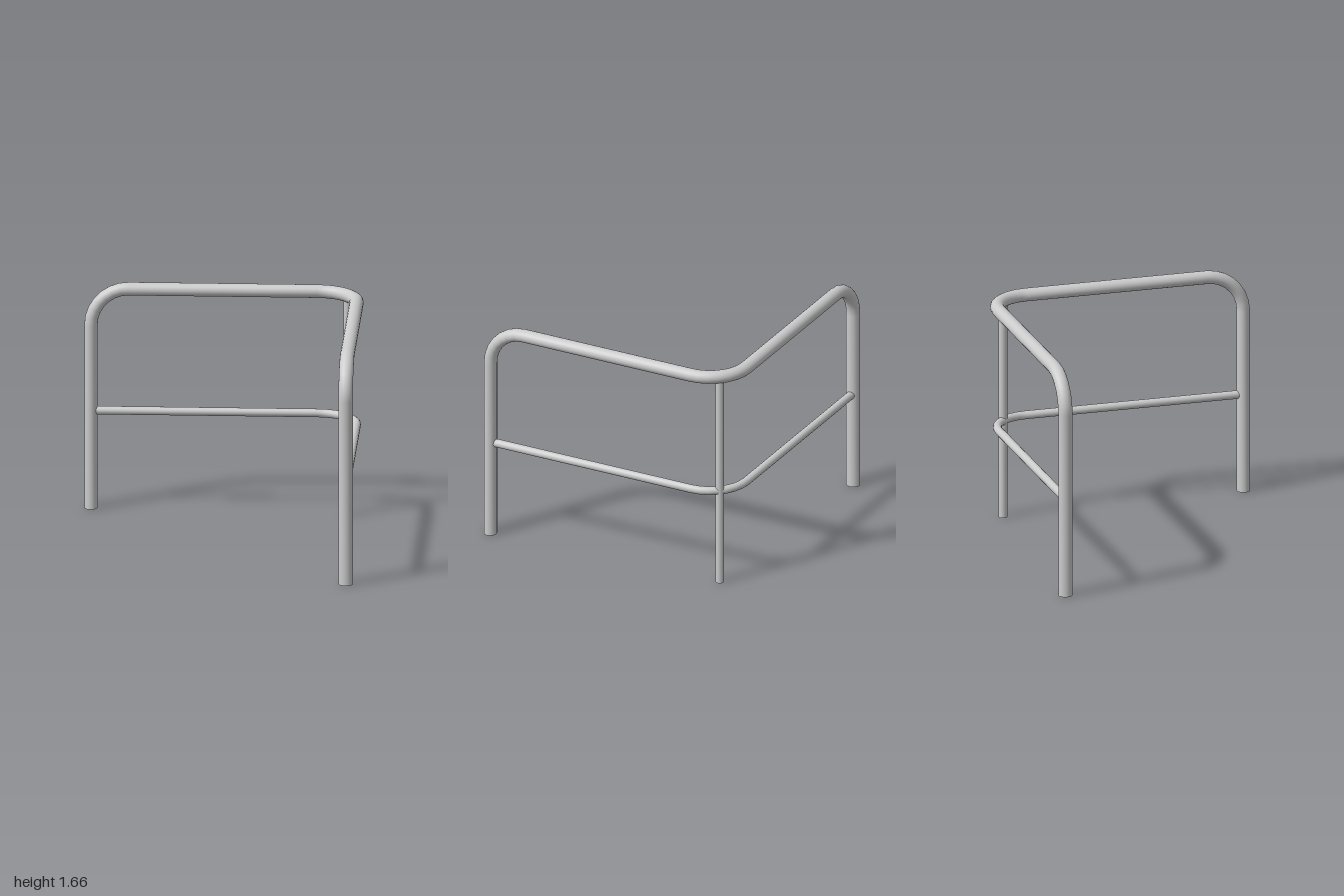
import * as THREE from 'three';

const END = 0.953;      // centre line of the two legs along their wing
const CORNER = 0.948;   // centre line of each wing at the corner
const TOP = 1.618;      // centre line height of the handrail
const BEND = 0.27;      // radius of the bends above the legs
const TURN = 0.29;      // radius of the corner bend
const STEPS = 7;

const V = (x, y, z) => new THREE.Vector3(x, y, z);

// Samples a quarter bend; fn(sin, cos, angle) gives a path station
function quarter(fn) {
  return Array.from({ length: STEPS + 1 }, (_, i) => {
    const a = (i / STEPS) * Math.PI / 2;
    return fn(Math.sin(a), Math.cos(a), a);
  });
}

// Horizontal corner bend from +x to +z at height y
const cornerBend = (y) => quarter((s, c, a) => ({
  p: V(CORNER - TURN + TURN * s, y, -CORNER + TURN - TURN * c), t: V(c, 0, s), a,
}));

// Sweeps an oval section along stations {p: point, t: tangent, a: heading}
function sweep(stations, sideR, upR, sides = 20) {
  const pos = [], index = [];
  const addRing = ({ p, t, a }) => {
    const side = V(-Math.sin(a), 0, Math.cos(a));
    const up = t.clone().cross(side);
    for (let j = 0; j < sides; j++) {
      const w = (j / sides) * Math.PI * 2;
      const q = p.clone().addScaledVector(side, Math.cos(w) * sideR).addScaledVector(up, Math.sin(w) * upR);
      pos.push(q.x, q.y, q.z);
    }
  };
  stations.forEach(addRing);
  for (let i = 0; i < stations.length - 1; i++) {
    for (let j = 0; j < sides; j++) {
      const k = (j + 1) % sides, a = i * sides, b = a + sides;
      index.push(a + j, a + k, b + j, a + k, b + k, b + j);
    }
  }
  // flat end caps with their own vertices
  [stations[0], stations[stations.length - 1]].forEach((st, e) => {
    const base = pos.length / 3;
    addRing(st);
    for (let j = 1; j < sides - 1; j++) {
      index.push(base, base + (e ? j : j + 1), base + (e ? j + 1 : j));
    }
  });
  const geo = new THREE.BufferGeometry();
  geo.setAttribute('position', new THREE.Float32BufferAttribute(pos, 3));
  geo.setIndex(index);
  geo.computeVertexNormals();
  return geo;
}

export function createModel() {
  const group = new THREE.Group();
  const material = new THREE.MeshStandardMaterial({ color: 0xcccccc });
  const add = (name, geometry) => {
    const mesh = new THREE.Mesh(geometry, material);
    mesh.name = name;
    group.add(mesh);
    return mesh;
  };
  const H = Math.PI / 2;

  // Handrail and both legs: one continuous bent tube
  add('handrail', sweep([
    { p: V(-END, 0, -CORNER), t: V(0, 1, 0), a: 0 },
    ...quarter((s, c) => ({
      p: V(-END + BEND - BEND * c, TOP - BEND + BEND * s, -CORNER), t: V(s, c, 0), a: 0,
    })),
    ...cornerBend(TOP),
    ...quarter((s, c) => ({
      p: V(CORNER, TOP - BEND + BEND * c, END - BEND + BEND * s), t: V(0, -s, c), a: H,
    })),
    { p: V(CORNER, 0, END), t: V(0, -1, 0), a: H },
  ], 0.051, 0.047));

  // Thin middle rail from leg to leg
  const railY = 0.72;
  add('middleRail', sweep([
    { p: V(-END, railY, -CORNER), t: V(1, 0, 0), a: 0 },
    ...cornerBend(railY),
    { p: V(CORNER, railY, END), t: V(0, 0, 1), a: H },
  ], 0.031, 0.03, 16));

  // Corner post under the handrail bend
  const post = add('cornerPost', new THREE.CylinderGeometry(0.031, 0.031, 1.6, 16));
  post.position.set(0.876, 0.8, -0.852);

  return group;
}
